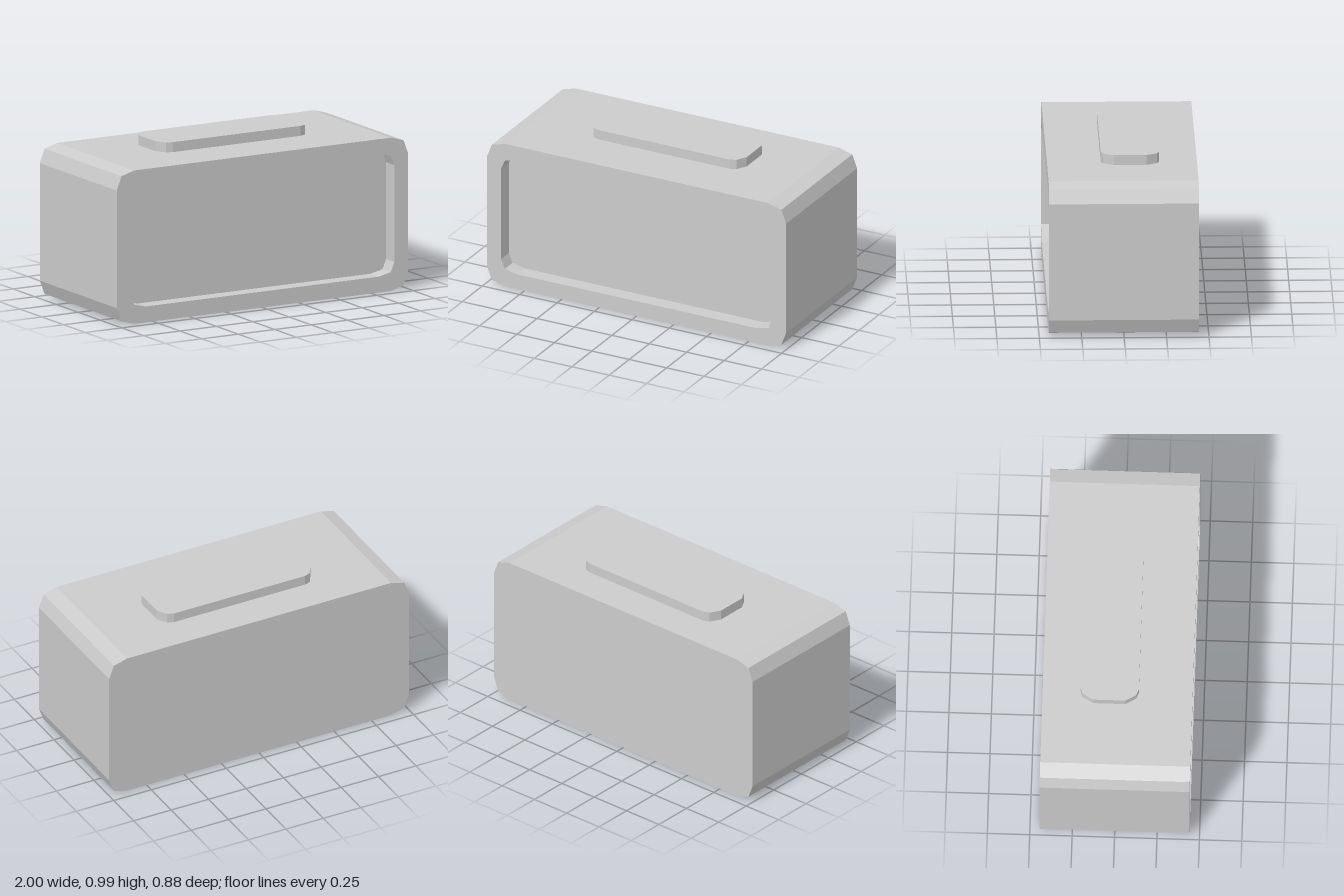
import * as THREE from 'three';

const material = new THREE.MeshStandardMaterial({ color: 0xcccccc, flatShading: true });

// Counter-clockwise 12-point rectangle; each corner has two facets.
// end = where the corner leaves the sides, mid = inset of its middle point
function cornerLoop(w, h, cx, cy, end, mid) {
  const corner = [[w, h - end[1]], [w - mid[0], h - mid[1]], [w - end[0], h]];
  const points = [];
  for (const [sx, sy] of [[1, 1], [-1, 1], [-1, -1], [1, -1]]) {
    const part = sx * sy > 0 ? corner : [...corner].reverse();
    for (const [x, y] of part) points.push([cx + sx * x, cy + sy * y]);
  }
  return points;
}

// Skin a series of [loop, z] sections, closing the first and last
function loft(name, sections, capStart = true) {
  const pos = [];
  const rings = sections.map(([loop, z]) => loop.map(([x, y]) => [x, y, z]));
  const tri = (a, b, c) => pos.push(...a, ...b, ...c);
  const n = rings[0].length;
  for (let r = 0; r < rings.length - 1; r++) {
    for (let i = 0; i < n; i++) {
      const j = (i + 1) % n, p = rings[r], q = rings[r + 1];
      tri(p[i], p[j], q[j]);
      tri(p[i], q[j], q[i]);
    }
  }
  const first = rings[0], last = rings[rings.length - 1];
  for (let i = 1; i < n - 1; i++) {
    if (capStart) tri(first[0], first[i + 1], first[i]);
    tri(last[0], last[i], last[i + 1]);
  }
  const geometry = new THREE.BufferGeometry();
  geometry.setAttribute('position', new THREE.Float32BufferAttribute(pos, 3));
  geometry.computeVertexNormals();
  const mesh = new THREE.Mesh(geometry, material);
  mesh.name = name;
  return mesh;
}

export function createModel() {
  const group = new THREE.Group();
  group.name = 'tableClock';

  // Case: back, outer walls, front rim, recess walls and recessed face
  const outer = cornerLoop(1, 0.4625, 0, 0.4625, [0.12, 0.108], [0.032, 0.025]);
  const inner = cornerLoop(0.905, 0.369, 0, 0.465, [0.105, 0.077], [0.025, 0.018]);
  group.add(loft('case', [[outer, -0.442], [outer, 0.442], [inner, 0.442], [inner, 0.347]]));

  // Wide button on top, extruded upward
  const pad = cornerLoop(0.5125, 0.1725, 0.0125, 0.0475, [0.075, 0.077], [0.036, 0.014]);
  const button = loft('topButton', [[pad, 0.925], [pad, 0.985]], false);
  button.rotation.x = -Math.PI / 2;
  group.add(button);

  return group;
}
